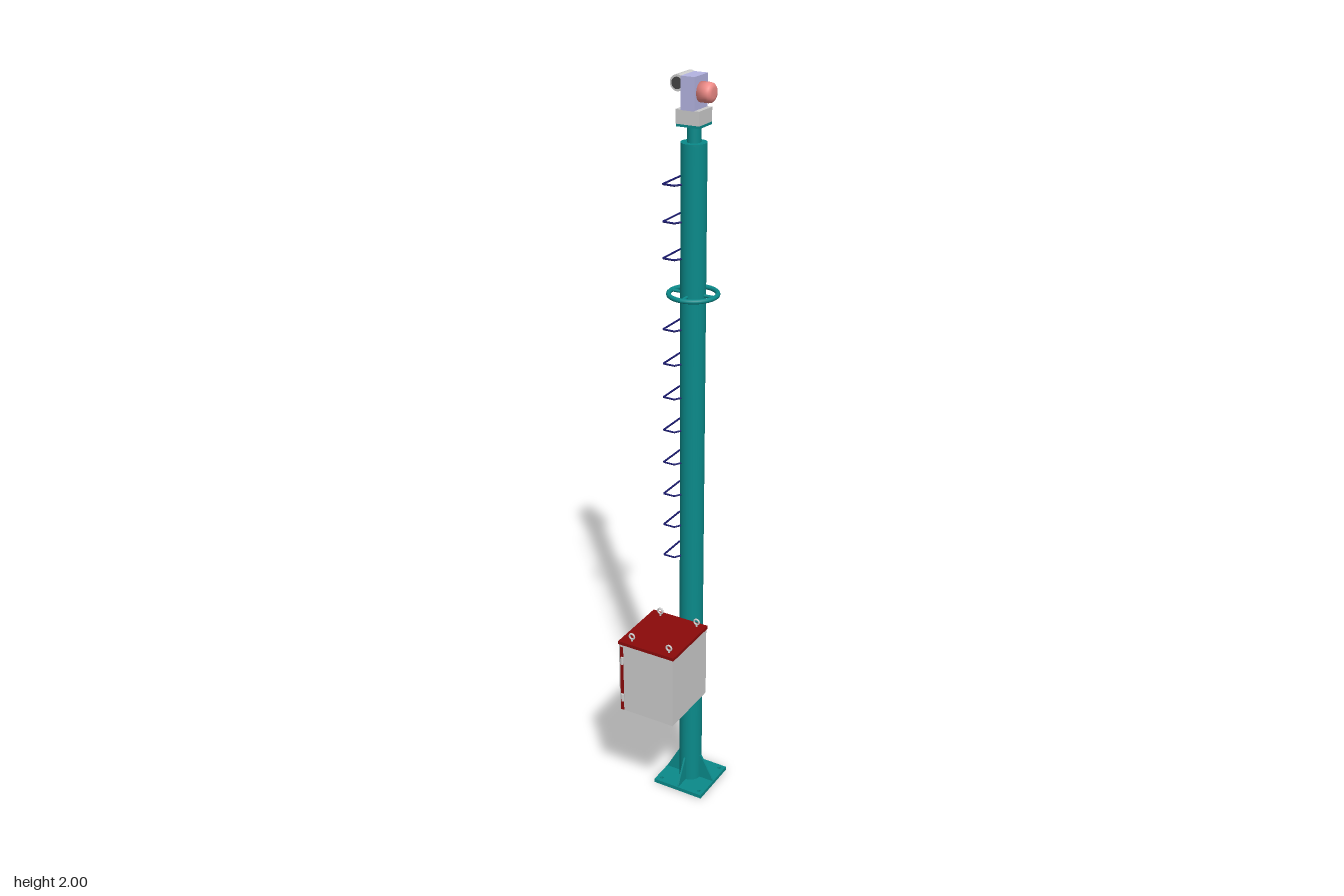
import * as THREE from 'three';

const POLE_Z = -0.088;
const paint = (color, side = THREE.FrontSide) => new THREE.MeshStandardMaterial({ color, side });

export function createModel() {
  const root = new THREE.Group();
  const teal = paint(0x0a8a8a), tealOpen = paint(0x0a8a8a, THREE.DoubleSide);
  const red = paint(0x8b0a0a), grey = paint(0xcccccc);
  const lavender = paint(0xb4b4e2), pink = paint(0xf08c88), navy = paint(0x191970);

  const add = (parent, name, geometry, material, x = 0, y = 0, z = 0) => {
    const mesh = new THREE.Mesh(geometry, material);
    mesh.name = name;
    mesh.position.set(x, y, z);
    parent.add(mesh);
    return mesh;
  };
  const box = (w, h, d) => new THREE.BoxGeometry(w, h, d);
  const cyl = (r, h, n = 24) => new THREE.CylinderGeometry(r, r, h, n);
  const group = (name, z = 0) => {
    const g = new THREE.Group();
    g.name = name;
    g.position.z = z;
    root.add(g);
    return g;
  };

  // Mast: base plate with bolt holes, gussets, hollow pole
  const mast = group('mast', POLE_Z);
  const plate = new THREE.Shape();
  plate.moveTo(-0.076, -0.076).lineTo(0.076, -0.076).lineTo(0.076, 0.076).lineTo(-0.076, 0.076).closePath();
  const hole = (x, y, r) => plate.holes.push(new THREE.Path().absarc(x, y, r, 0, Math.PI * 2, true));
  for (const x of [-0.061, 0.061]) for (const y of [-0.061, 0.061]) hole(x, y, 0.005);
  hole(0, 0, 0.029);
  const plateGeo = new THREE.ExtrudeGeometry(plate, { depth: 0.011, bevelEnabled: false, curveSegments: 16 });
  add(mast, 'basePlate', plateGeo.rotateX(-Math.PI / 2), teal);
  add(mast, 'pole', new THREE.CylinderGeometry(0.032, 0.032, 1.83, 32, 1, true), tealOpen, 0, 0.925);
  add(mast, 'poleCap', cyl(0.032, 0.008, 32), teal, 0, 1.84);
  add(mast, 'neck', cyl(0.017, 0.044), teal, 0, 1.864);
  add(mast, 'headFlange', box(0.062, 0.006, 0.062), teal, 0, 1.886);

  const gusset = new THREE.Shape();
  gusset.moveTo(0.03, 0.01).lineTo(0.075, 0.01).lineTo(0.072, 0.018).lineTo(0.036, 0.085).lineTo(0.03, 0.085).closePath();
  const gussetGeo = new THREE.ExtrudeGeometry(gusset, { depth: 0.005, bevelEnabled: false }).translate(0, 0, -0.0025);

  // Hoop around the pole, held by four spokes
  add(mast, 'hoop', new THREE.TorusGeometry(0.061, 0.006, 12, 48).rotateX(Math.PI / 2), teal, 0, 1.47);
  for (let i = 0; i < 4; i++) {
    const angle = i * Math.PI / 2;
    add(mast, 'gusset', gussetGeo, teal).rotation.y = angle;
    const spoke = cyl(0.004, 0.034, 10).rotateZ(Math.PI / 2).translate(0.044, 0, 0);
    add(mast, 'hoopSpoke', spoke, teal, 0, 1.47).rotation.y = angle;
  }

  // Step irons on the right side of the pole, left out at the hoop
  const steps = group('steps', POLE_Z);
  const stepPath = new THREE.CurvePath();
  const points = [[-0.019, -0.026], [-0.029, -0.043], [-0.061, -0.043], [-0.061, 0.043], [-0.029, 0.043], [-0.019, 0.026]]
    .map(([x, z]) => new THREE.Vector3(x, 0, z));
  for (let i = 1; i < points.length; i++) stepPath.add(new THREE.LineCurve3(points[i - 1], points[i]));
  const stepGeo = new THREE.TubeGeometry(stepPath, 60, 0.0026, 6);
  for (let i = 0; i < 12; i++) if (i !== 8) add(steps, 'stepIron', stepGeo, navy, 0, 0.74 + i * 0.0914);

  // Control cabinet with roof, trim and fittings
  const cabinet = group('cabinet');
  add(cabinet, 'cabinetBody', box(0.163, 0.204, 0.18), grey, 0.002, 0.462, 0.069);
  add(cabinet, 'cabinetRoof', box(0.167, 0.009, 0.183), red, 0.0025, 0.569, 0.0685);
  for (const [y, h] of [[0.54, 0.036], [0.46, 0.094], [0.376, 0.03]])
    add(cabinet, 'frontTrim', box(0.009, h, 0.003), red, -0.071, y, 0.159);
  add(cabinet, 'rearTrim', box(0.006, 0.2, 0.003), red, -0.076, 0.462, -0.021);
  for (const y of [0.517, 0.4]) {
    add(cabinet, 'hinge', cyl(0.004, 0.022, 12), grey, -0.069, y, 0.161);
    add(cabinet, 'poleBracket', cyl(0.012, 0.05).rotateX(Math.PI / 2), teal, 0, y, -0.042);
  }
  add(cabinet, 'latchPlate', box(0.003, 0.04, 0.028), red, -0.08, 0.478, 0.012);
  add(cabinet, 'latchHandle', box(0.007, 0.022, 0.007), grey, -0.084, 0.478, 0.008);
  for (const x of [-0.05, 0.062]) for (const z of [-0.006, 0.141]) {
    add(cabinet, 'liftingEye', new THREE.TorusGeometry(0.0075, 0.0025, 8, 20), grey, x, 0.587, z);
    add(cabinet, 'eyeStem', cyl(0.003, 0.01, 10), grey, x, 0.576, z);
  }

  // Pan-tilt head carrying a lamp and a camera barrel
  const head = group('sensorHead', POLE_Z);
  add(head, 'headBase', box(0.063, 0.034, 0.063), grey, -0.001, 1.906);
  add(head, 'headBody', box(0.036, 0.078, 0.064), lavender, 0, 1.961);
  const lamp = [[0, 0], [0.024, 0], [0.024, 0.024], [0.0225, 0.031], [0.018, 0.0355], [0.012, 0.037], [0, 0.037]]
    .map(([r, y]) => new THREE.Vector2(r, y));
  add(head, 'lamp', new THREE.LatheGeometry(lamp, 32).rotateZ(-Math.PI / 2), pink, 0.016, 1.962);
  add(head, 'cameraBarrel', cyl(0.0195, 0.066).rotateX(Math.PI / 2), grey, -0.0375, 1.979, -0.018);
  add(head, 'cameraLens', cyl(0.014, 0.003).rotateX(Math.PI / 2), paint(0x444444), -0.0375, 1.979, 0.0155);
  return root;
}
